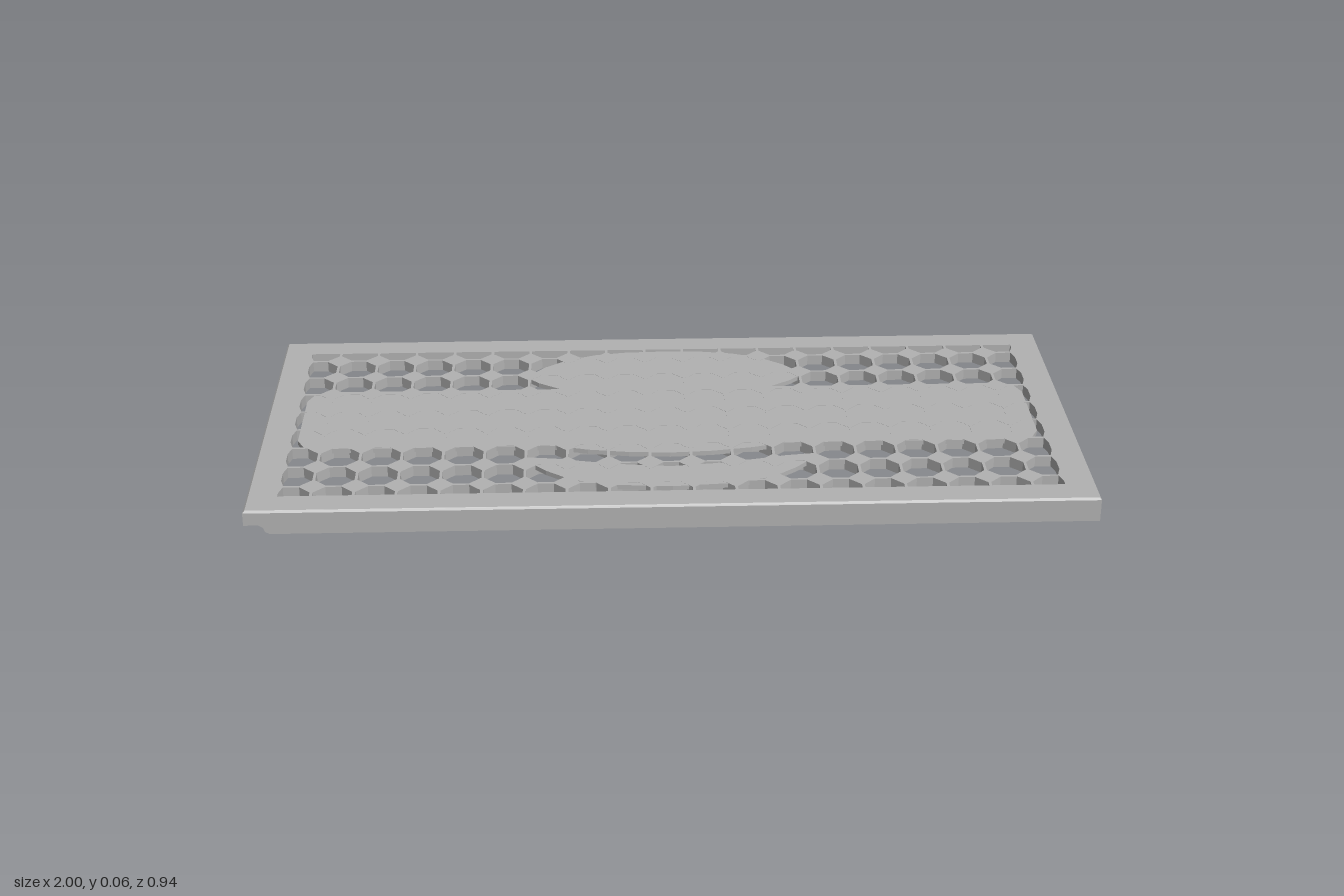
import * as THREE from 'three';

const grey = new THREE.MeshStandardMaterial({ color: 0xb2b2b2 });
grey.name = 'plainGrey';

const HX = 1, HZ = 0.47;          // half size of the panel
const TOP = 0.06, UNDER = 0.033;  // top and underside of the plate
const WALL = 0.012;
const WIN_X = 0.927, WIN_Z = 0.397; // half size of the perforated window
const PITCH = 0.1, HOLE = 0.0465;

function part(name, geometry) {
  const mesh = new THREE.Mesh(geometry, grey);
  mesh.name = name;
  return mesh;
}

// Outline given as [x, z] pairs, extruded upwards from y0 to y1
const outline = (pts) => pts.map(([x, z]) => new THREE.Vector2(x, -z));
function slab(shape, y0, y1, steps = 1) {
  const g = new THREE.ExtrudeGeometry(shape, { depth: y1 - y0, bevelEnabled: false, steps });
  return g.rotateX(-Math.PI / 2).translate(0, y0, 0);
}

// Mirror a half outline that starts and ends on x = 0
const mirrored = (half) =>
  half.concat(half.filter(([x]) => x > 0).reverse().map(([x, z]) => [-x, z]));

// Octagonal hole, cropped by the window
function octagon(cx, cz) {
  const r = HOLE / Math.cos(Math.PI / 8), pts = [];
  for (let i = 0; i < 8; i++) {
    const a = (i + 0.5) * Math.PI / 4;
    pts.push([
      THREE.MathUtils.clamp(cx + r * Math.cos(a), -WIN_X, WIN_X),
      THREE.MathUtils.clamp(cz + r * Math.sin(a), -WIN_Z, WIN_Z),
    ]);
  }
  return new THREE.Path(outline(pts));
}

// Perforated plate with a small chamfer round its top outer edge
function gridPlate() {
  const shape = new THREE.Shape(outline([[-HX, HZ], [HX, HZ], [HX, -HZ], [-HX, -HZ]]));
  for (let i = -9; i <= 9; i++)
    for (let j = -4; j <= 4; j++) shape.holes.push(octagon(i * PITCH, j * PITCH));
  const g = slab(shape, UNDER, TOP, 2);
  const p = g.attributes.position, c = 0.005;
  for (let i = 0; i < p.count; i++) {
    const x = p.getX(i), y = p.getY(i), z = p.getZ(i);
    if (y > UNDER + 0.001 && y < TOP - 0.001) p.setY(i, TOP - c);
    else if (y >= TOP - 0.001 && Math.abs(x) > HX - 0.001) {
      p.setX(i, Math.sign(x) * (HX - c));
      p.setZ(i, Math.sign(z) * (HZ - c));
    }
  }
  g.computeVertexNormals();
  return g;
}

// Wall with a cable notch at one end (side = -1 or 1)
function wall(length, side, cut) {
  const h = length / 2;
  const pts = [[h, 0], [h, UNDER], [-h, UNDER], [-h, 0.023], [-h + cut - 0.025, 0.023],
    [-h + cut - 0.015, 0.017], [-h + cut - 0.01, 0.005], [-h + cut, 0]];
  const shape = new THREE.Shape(pts.map(([x, y]) => new THREE.Vector2(-side * x, y)));
  return new THREE.ExtrudeGeometry(shape, { depth: WALL, bevelEnabled: false });
}

export function createModel() {
  const model = new THREE.Group();
  model.name = 'ventPanel';
  model.add(part('gridPlate', gridPlate()));

  // Closed areas: a thin skin that fills the tops of the holes
  const band = mirrored([
    [0, -0.385], [0.1, -0.381], [0.18, -0.367], [0.25, -0.34], [0.31, -0.295], [0.36, -0.237],
    [0.325, -0.2], [0.27, -0.163], [0.86, -0.163], [0.893, -0.15], [0.91, -0.11],
    [0.91, 0.11], [0.893, 0.145], [0.86, 0.157], [0.28, 0.157], [0.2, 0.18], [0.1, 0.196], [0, 0.202],
  ]);
  const crescent = mirrored([
    [0, 0.273], [0.1, 0.262], [0.2, 0.243], [0.28, 0.225], [0.355, 0.215],
    [0.335, 0.25], [0.3, 0.288], [0.24, 0.335], [0.15, 0.364], [0, 0.376],
  ]);
  for (const [name, pts] of [['closedBand', band], ['closedCrescent', crescent]])
    model.add(part(name, slab(new THREE.Shape(outline(pts)), 0.048, TOP - 0.0004)));

  // Each half turn gives a long wall, an end wall and the pegs inside the long wall
  for (let k = 0; k < 2; k++) {
    const half = new THREE.Group();
    half.name = k ? 'backWalls' : 'frontWalls';
    half.rotation.y = k * Math.PI;

    half.add(part('longWall', wall(2 * HX, -1, 0.06).translate(0, 0, HZ - WALL)));
    half.add(part('endWall', wall(2 * (HZ - WALL), 1, 0.06 - WALL)
      .translate(0, 0, HX - WALL).rotateY(Math.PI / 2)));

    for (const x of [-0.81, -0.27, 0.27, 0.81])
      half.add(part('peg', new THREE.CylinderGeometry(0.006, 0.006, 0.006, 12)
        .rotateX(Math.PI / 2).translate(x, 0.012, HZ - WALL - 0.001)));
    model.add(half);
  }
  return model;
}
